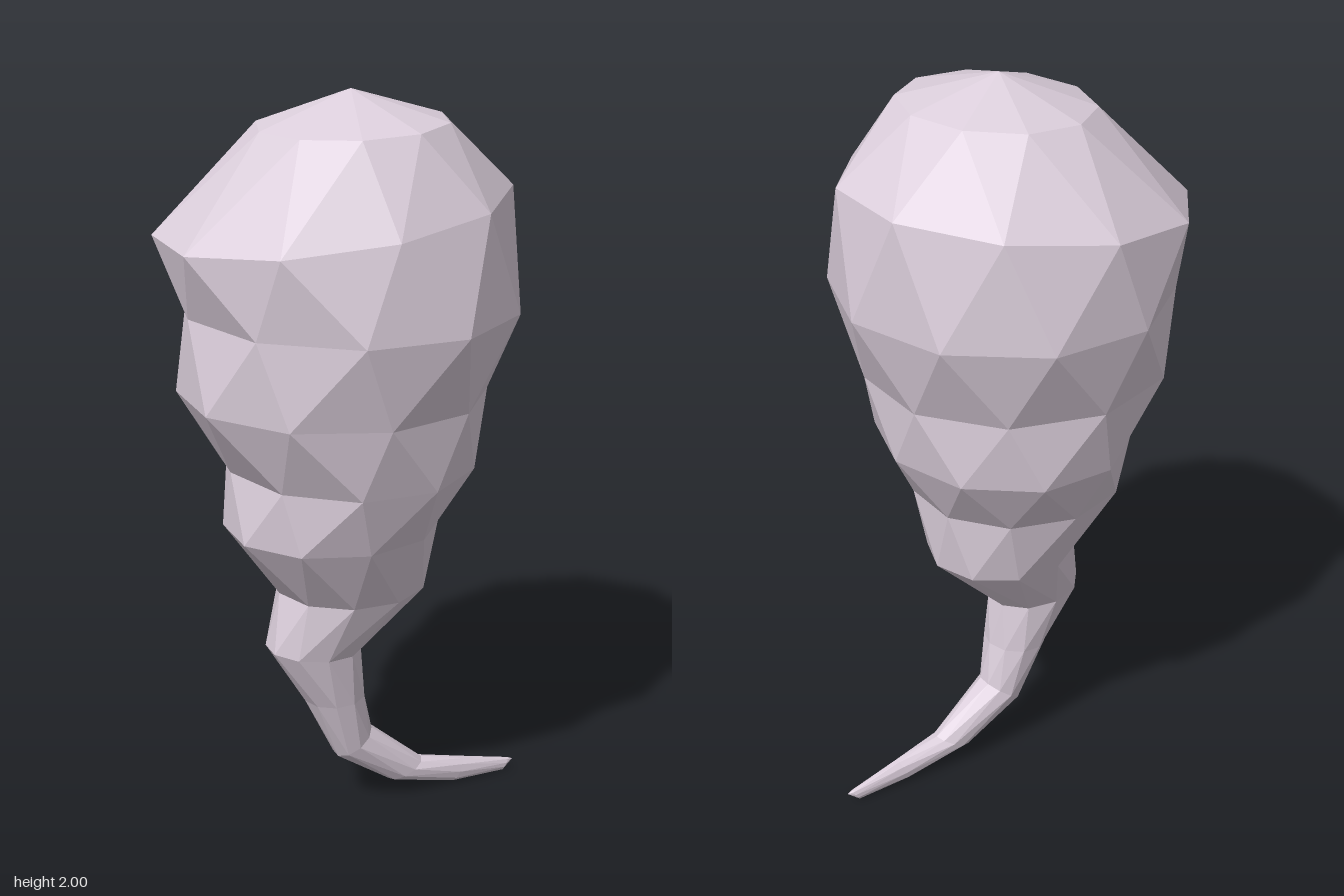
import * as THREE from 'three';

const SIDES = 10;

// Rings from crown to tail tip: left x, left y, right x, right y, back z, front z
const BODY = [
  [-0.27, 1.91, 0.22, 1.93, -0.21, 0.29],
  [-0.50, 1.64, 0.38, 1.75, -0.43, 0.43],
  [-0.455, 1.45, 0.42, 1.45, -0.43, 0.445],
  [-0.455, 1.23, 0.32, 1.22, -0.385, 0.405],
  [-0.35, 1.03, 0.31, 1.03, -0.34, 0.345],
  [-0.35, 0.86, 0.20, 0.86, -0.26, 0.29],
  [-0.22, 0.67, 0.19, 0.67, -0.18, 0.185],
  [-0.25, 0.51, 0.0, 0.49, -0.11, 0.12],
  [-0.15, 0.34, 0.02, 0.35, -0.08, 0.09],
  [-0.06, 0.16, 0.04, 0.23, -0.06, 0.065],
  [0.10, 0.05, 0.20, 0.10, -0.035, 0.045],
  [0.30, 0.005, 0.33, 0.07, -0.02, 0.03],
  [0.46, 0.0, 0.48, 0.037, -0.01, 0.01],
];

// One tilted cross-section, turned half a step further than the ring above it
function ring([lx, ly, rx, ry, back, front], k) {
  const angles = Array.from({ length: SIDES }, (_, i) => (i + k / 2) * 2 * Math.PI / SIDES);
  const maxC = Math.max(...angles.map((a) => Math.abs(Math.cos(a))));
  const maxS = Math.max(...angles.map((a) => Math.abs(Math.sin(a))));
  return angles.map((a) => {
    const c = Math.cos(a) / maxC, s = Math.sin(a) / maxS;
    return [
      (lx + rx + (rx - lx) * c) / 2,
      (ly + ry + (ry - ly) * c) / 2,
      (front + back + (front - back) * s) / 2,
    ];
  });
}

// Triangulated skin through the rings, closed by a crown point and a tail point
function skin(sections, top, tip) {
  const rings = sections.map(ring);
  const positions = [];
  const tri = (a, b, c) => positions.push(...a, ...b, ...c);
  const last = rings[rings.length - 1];
  for (let i = 0; i < SIDES; i++) {
    const j = (i + 1) % SIDES;
    tri(top, rings[0][j], rings[0][i]);
    for (let k = 0; k < rings.length - 1; k++) {
      const a = rings[k], b = rings[k + 1];
      tri(a[i], a[j], b[i]);
      tri(a[j], b[j], b[i]);
    }
    tri(last[i], last[j], tip);
  }
  const geometry = new THREE.BufferGeometry();
  geometry.setAttribute('position', new THREE.Float32BufferAttribute(positions, 3));
  geometry.computeVertexNormals();
  return geometry;
}

export function createModel() {
  const group = new THREE.Group();
  group.name = 'wisp';
  const material = new THREE.MeshStandardMaterial({ color: 0xdccfdc, flatShading: true });

  // Rounded head narrowing into a curled tail
  const body = new THREE.Mesh(skin(BODY, [-0.02, 2, 0.02], [0.495, 0.03, 0]), material);
  body.name = 'bodyAndTail';
  group.add(body);
  return group;
}
